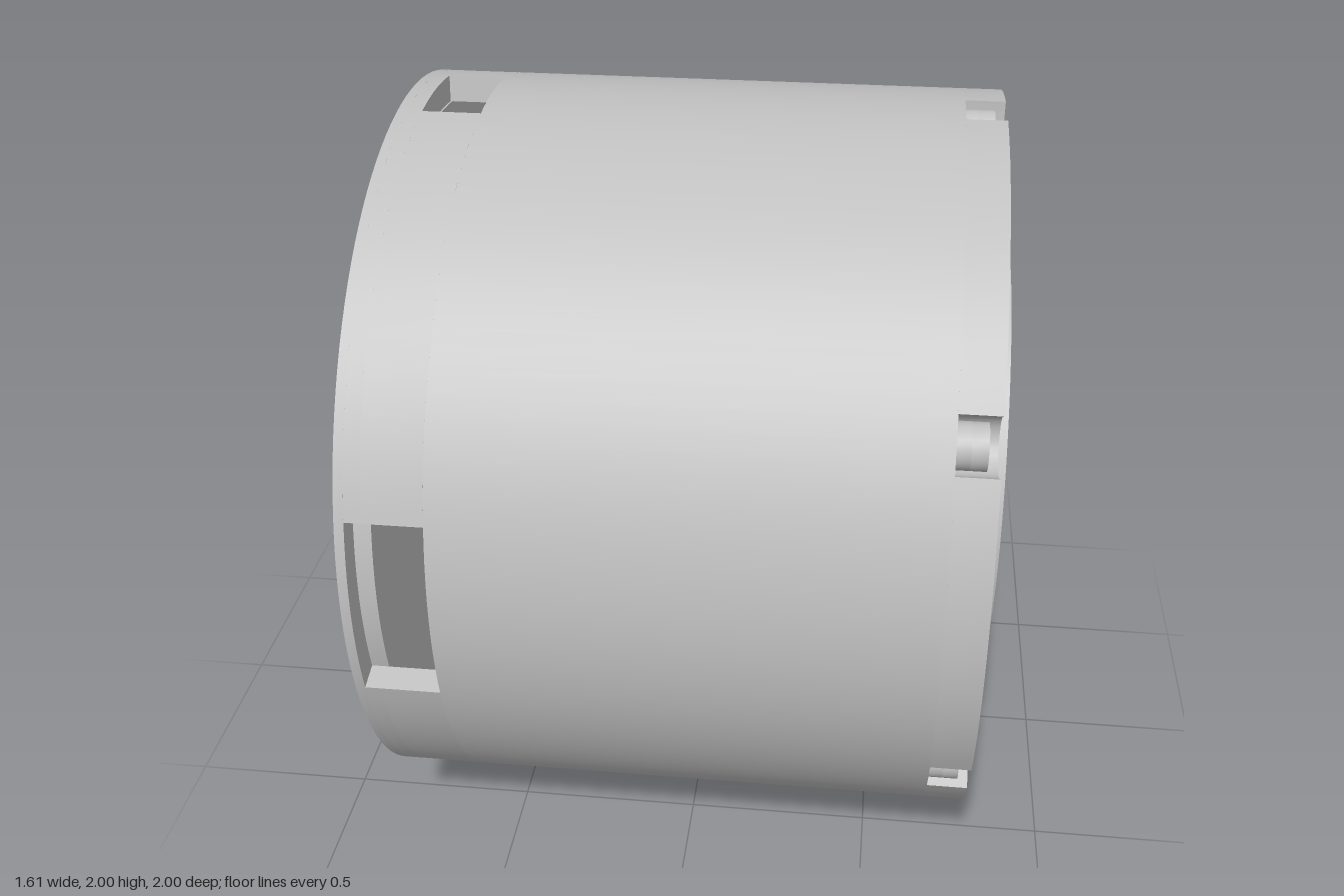
import * as THREE from 'three';
import { toCreasedNormals } from 'three/addons/utils/BufferGeometryUtils.js';

const RAD = Math.PI / 180;
const steel = new THREE.MeshStandardMaterial({ color: 0xc0c0c0 });
steel.name = 'steel grey';

const polar = (r, a, cx = 0, cy = 0) =>
  new THREE.Vector2(cx + r * Math.cos(a), cy + r * Math.sin(a));

// points along an arc, angles in radians
function arc(r, a0, a1, cx = 0, cy = 0, step = 3 * RAD) {
  const n = Math.max(2, Math.ceil(Math.abs(a1 - a0) / step));
  return Array.from({ length: n + 1 }, (_, i) => polar(r, a0 + ((a1 - a0) * i) / n, cx, cy));
}

function circle(r, cx = 0, cy = 0, n = 120) {
  return Array.from({ length: n }, (_, i) => polar(r, (i * 2 * Math.PI) / n, cx, cy));
}

// round hole placed by radius and angle in degrees
function holeAt(dist, deg, r, n = 16) {
  const c = polar(dist, deg * RAD);
  return circle(r, c.x, c.y, n);
}

export function createModel() {
  const model = new THREE.Group();
  model.name = 'motorHousing';
  // everything is built along local z, which becomes the x axis
  const axis = new THREE.Group();
  axis.name = 'housingAxis';
  axis.rotation.y = Math.PI / 2;
  axis.position.y = 1;
  model.add(axis);

  function slab(name, outline, from, to, holes = []) {
    const shape = new THREE.Shape(outline);
    holes.forEach((h) => shape.holes.push(new THREE.Path(h)));
    const geo = new THREE.ExtrudeGeometry(shape, { depth: to - from, bevelEnabled: false });
    geo.translate(0, 0, from);
    const mesh = new THREE.Mesh(toCreasedNormals(geo, 0.6), steel);
    mesh.name = name;
    axis.add(mesh);
    return mesh;
  }

  const sixths = [0, 60, 120, 180, 240, 300];
  const INNER = 0.93;
  const WIDE = 14.5;
  const NARROW = 8.3;

  // back plate: counterbores and small holes on the diagonals
  const backHoles = [];
  for (const d of [45, 135, 225, 315]) {
    backHoles.push(holeAt(0.9, d, 0.09, 24), holeAt(0.665, d, 0.045));
  }
  slab('backPlate', circle(1), -0.805, -0.78, backHoles);
  const recessed = [
    ...arc(1, WIDE * RAD, (180 - WIDE) * RAD),
    ...arc(INNER, (180 - WIDE) * RAD, (180 + WIDE) * RAD),
    ...arc(1, (180 + WIDE) * RAD, (360 - WIDE) * RAD),
    ...arc(INNER, -WIDE * RAD, WIDE * RAD),
  ];
  slab('backPlateStep', recessed, -0.78, -0.74, backHoles);
  slab('backPlateFloor', circle(INNER), -0.74, -0.735);

  // wall between the plates, open at the front, back and top windows
  const walls = [
    [WIDE, 90 - NARROW],
    [90 + NARROW, 180 - WIDE],
    [180 + WIDE, 360 - WIDE],
  ];
  for (const [a, b] of walls) {
    const outline = [...arc(1, a * RAD, b * RAD), ...arc(INNER, b * RAD, a * RAD)];
    slab('windowWall', outline, -0.74, -0.585);
  }

  // main barrel and its solid centre
  slab('barrel', circle(1), -0.585, 0.66, [circle(0.6)]);
  slab('barrelCore', circle(0.6), -0.585, 0.45);

  // face ring with six open screw notches and tapped holes
  const half = 0.072;
  const seat = 0.937;
  const edge = Math.asin(half);
  const rim = [];
  for (const d of sixths) {
    const a = (d + 30) * RAD;
    const c = polar(seat, a);
    rim.push(...arc(1, a - 60 * RAD + edge, a - edge));
    rim.push(...arc(half, a - Math.PI / 2, a - 1.5 * Math.PI, c.x, c.y, 15 * RAD));
  }
  const ringHoles = [circle(0.625)];
  sixths.forEach((d) => ringHoles.push(holeAt(0.877, d, 0.04, 10)));
  ringHoles.push(holeAt(0.88, 164.8, 0.055, 20), holeAt(0.88, -15.2, 0.055, 20));
  slab('faceRing', rim, 0.66, 0.765, ringHoles);

  // socket screws in the notches
  for (const d of sixths) {
    const c = polar(seat, (d + 30) * RAD);
    slab('screwBase', circle(0.058, c.x, c.y, 24), 0.655, 0.695);
    slab('screwHead', circle(0.058, c.x, c.y, 24), 0.695, 0.735, [circle(0.032, c.x, c.y, 6)]);
  }

  // raised output disc with three lobed pockets
  const side = [[0.23, 0.09], [0.305, 0.155], [0.4, 0.145], [0.5, 0.175], [0.56, 0.14], [0.58, 0.06]];
  const lobe = [...side, ...side.slice().reverse().map(([x, y]) => [x, -y])];
  const curve = new THREE.CatmullRomCurve3(
    lobe.map(([x, y]) => new THREE.Vector3(x, y, 0)), true);
  const pocket = curve.getPoints(48).slice(0, -1).map((p) => new THREE.Vector2(p.x, p.y));
  const origin = new THREE.Vector2();
  const discHoles = [circle(0.165, 0, 0, 40)];
  for (const d of [0, 120, 240]) {
    discHoles.push(pocket.map((p) => p.clone().rotateAround(origin, d * RAD)));
    discHoles.push(holeAt(0.427, d + 60, 0.07, 24));
  }
  sixths.forEach((d) => discHoles.push(holeAt(0.475, d + 30, 0.042, 10)));
  slab('outputDisc', circle(0.612), 0.45, 0.805, discHoles);
  slab('centreBoreFloor', circle(0.165, 0, 0, 40), 0.45, 0.64);

  return model;
}
